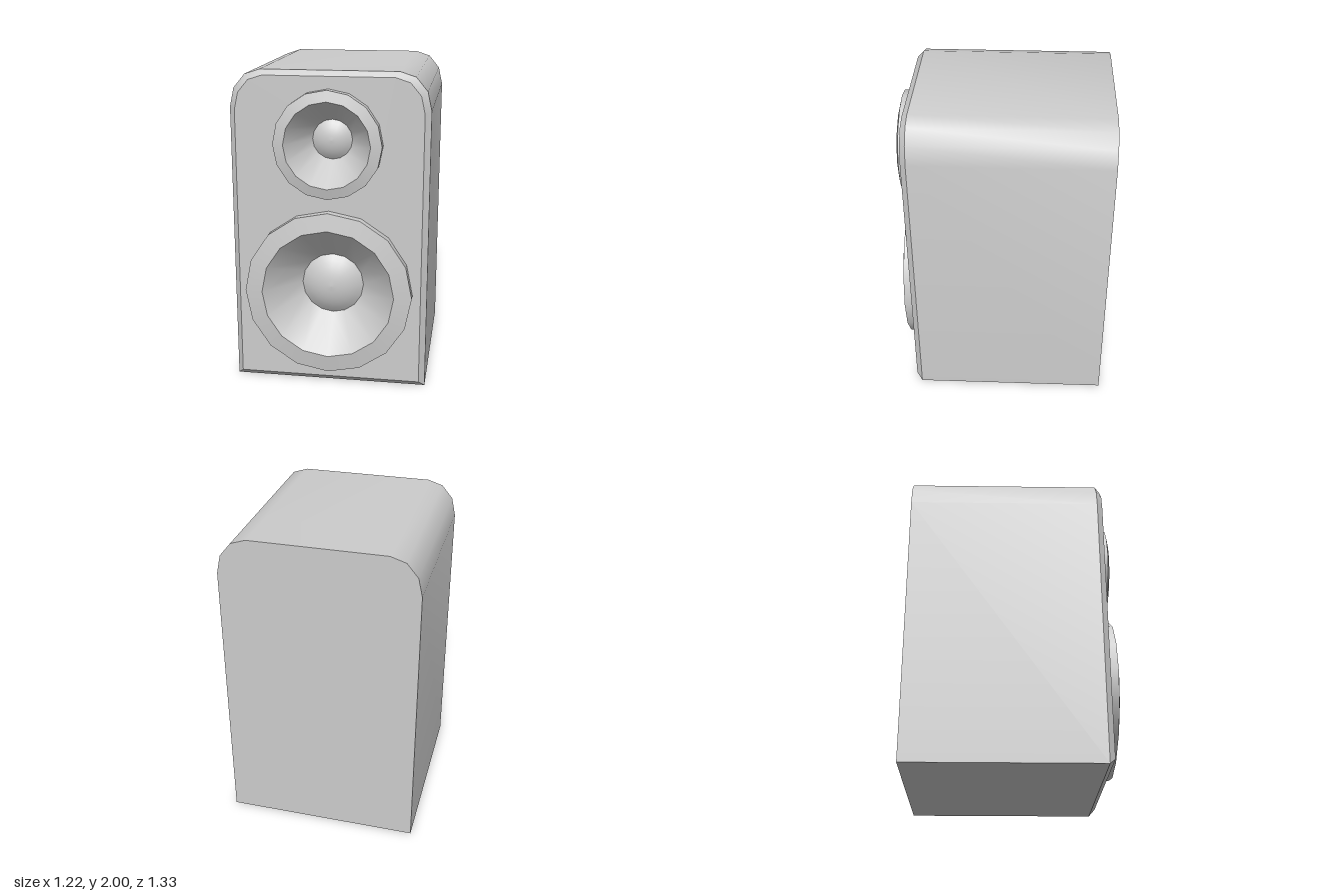
import * as THREE from 'three';
import { mergeGeometries, toCreasedNormals } from 'three/addons/utils/BufferGeometryUtils.js';

const material = new THREE.MeshStandardMaterial({ color: 0xcccccc });
const BACK = -0.665, EDGE = 0.555, FRONT = 0.592;

function addMesh(parent, name, geometry) {
  const mesh = new THREE.Mesh(geometry, material);
  mesh.name = name;
  parent.add(mesh);
  return mesh;
}

// Cabinet outline, counterclockwise: square bottom corners, rounded top corners
function outline(inset) {
  const w = 0.612 - inset, top = 2 - inset * 0.85;
  const rx = 0.19 - inset * 0.4, ry = 0.23 - inset * 0.5;
  const right = [new THREE.Vector2(w, inset)];
  for (let i = 0; i <= 3; i++) {
    const a = (i / 3) * Math.PI / 2;
    right.push(new THREE.Vector2(w - rx + rx * Math.cos(a), top - ry + ry * Math.sin(a)));
  }
  const left = right.map(p => new THREE.Vector2(-p.x, p.y)).reverse();
  return [...right, ...left];
}

// Side walls and front chamfer, lofted through successive outlines
function shellGeometry(sections) {
  const positions = [], index = [];
  for (const { points, z } of sections) {
    for (const p of points) positions.push(p.x, p.y, z);
  }
  const n = sections[0].points.length;
  for (let s = 0; s < sections.length - 1; s++) {
    for (let i = 0; i < n; i++) {
      const j = (i + 1) % n;
      const a = s * n + i, b = s * n + j, c = b + n, d = a + n;
      index.push(a, b, c, a, c, d);
    }
  }
  const geometry = new THREE.BufferGeometry();
  geometry.setAttribute('position', new THREE.Float32BufferAttribute(positions, 3));
  geometry.setIndex(index);
  return toCreasedNormals(geometry, 0.7);
}

// Smooth 16-sided surface around the z axis from [radius, z] points
function turned(profile) {
  const points = profile.map(([r, z]) => new THREE.Vector2(r, z));
  return new THREE.LatheGeometry(points, 16).rotateX(Math.PI / 2);
}

// Raised ring, recessed cone and domed cap of one driver
function makeDriver(name, y, outer, inner, cap) {
  const driver = new THREE.Group();
  driver.name = name;
  driver.position.y = y;
  const rim = 0.665, shoulder = 0.648, seat = 0.44;

  addMesh(driver, name + 'Ring', mergeGeometries([
    turned([[outer, FRONT - 0.002], [outer, shoulder]]),
    turned([[outer, shoulder], [inner, rim]]),
  ]));
  addMesh(driver, name + 'Cone', turned([[inner, rim], [cap, seat]]));

  const height = cap * 0.36;
  const radius = (cap * cap + height * height) / (2 * height);
  const spread = Math.asin(cap / radius);
  const dome = [];
  for (let i = 0; i <= 5; i++) {
    const a = spread * (1 - i / 5);
    dome.push([radius * Math.sin(a), seat + height - radius * (1 - Math.cos(a))]);
  }
  addMesh(driver, name + 'DustCap', turned(dome));
  return driver;
}

export function createModel() {
  const model = new THREE.Group();
  model.name = 'loudspeaker';

  const drivers = [
    { name: 'woofer', y: 0.62, outer: 0.525, inner: 0.415, cap: 0.198 },
    { name: 'tweeter', y: 1.563, outer: 0.332, inner: 0.265, cap: 0.125 },
  ];

  // Cabinet
  const cabinet = new THREE.Group();
  cabinet.name = 'cabinet';
  model.add(cabinet);
  const full = outline(0), face = outline(0.037);
  addMesh(cabinet, 'cabinetShell', shellGeometry([
    { points: full, z: BACK },
    { points: full, z: EDGE },
    { points: face, z: FRONT },
  ]));
  addMesh(cabinet, 'backPanel',
    new THREE.ShapeGeometry(new THREE.Shape(full)).rotateY(Math.PI).translate(0, 0, BACK));

  // Front baffle with an opening behind each driver ring
  const baffle = new THREE.Shape(face);
  for (const d of drivers) {
    const hole = [];
    for (let i = 0; i < 16; i++) {
      const a = -i * Math.PI / 8, r = d.outer - 0.005;
      hole.push(new THREE.Vector2(r * Math.cos(a), d.y + r * Math.sin(a)));
    }
    baffle.holes.push(new THREE.Path(hole));
  }
  addMesh(cabinet, 'frontBaffle', new THREE.ShapeGeometry(baffle).translate(0, 0, FRONT));

  // Drivers
  for (const d of drivers) model.add(makeDriver(d.name, d.y, d.outer, d.inner, d.cap));

  return model;
}
